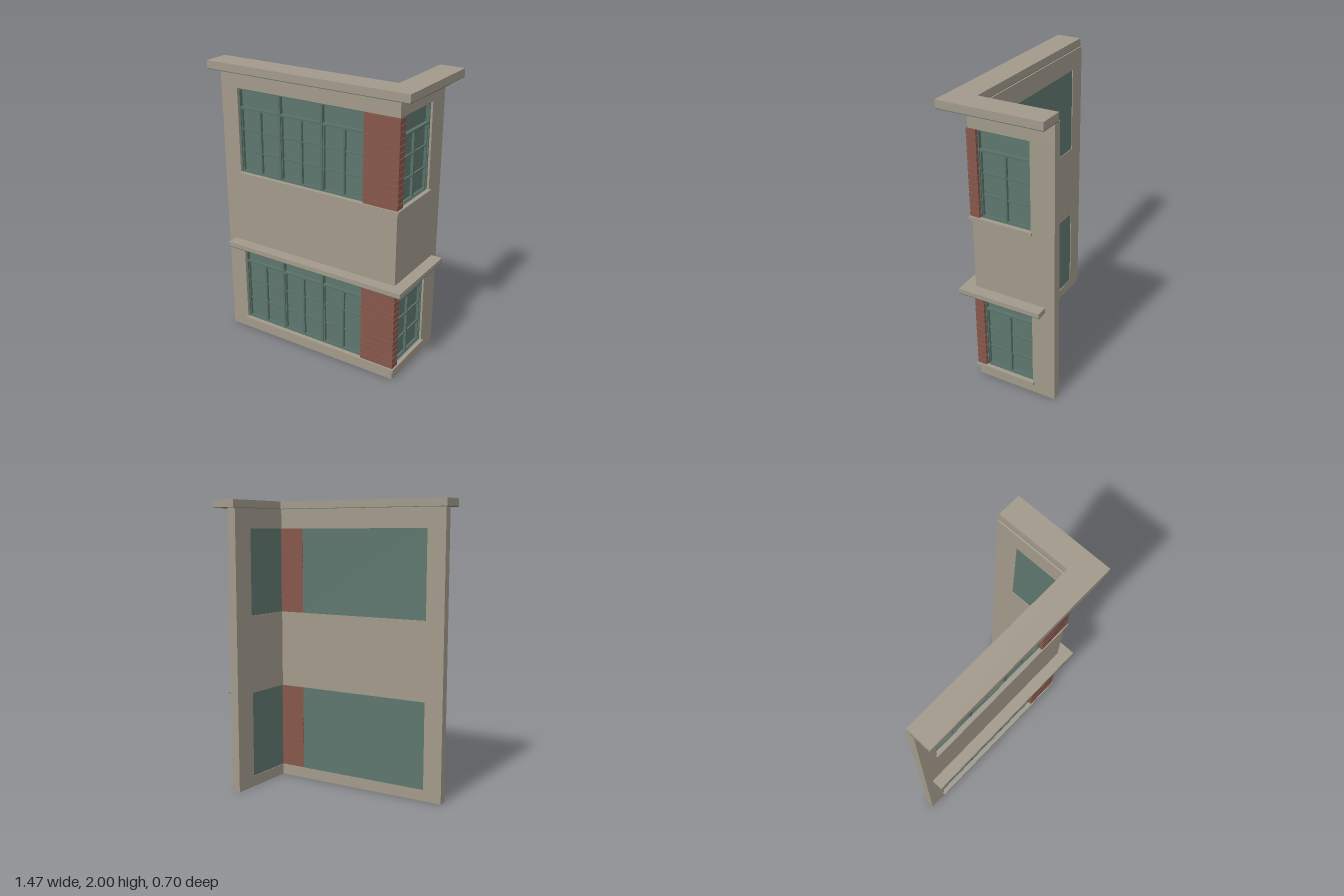
import * as THREE from 'three';

const mat = (name, color) => {
  const m = new THREE.MeshStandardMaterial({ color });
  m.name = name;
  return m;
};

export function createModel() {
  const stone = mat('stone', 0xa1998a);
  const brick = mat('brick', 0x85564a);
  const glass = mat('glass', 0x5d766d);
  const frame = mat('frame', 0x577068);
  const model = new THREE.Group();
  model.name = 'cornerFacade';

  // Box given by its limits
  function box(parent, name, m, x0, x1, y0, y1, z0, z1) {
    const mesh = new THREE.Mesh(new THREE.BoxGeometry(x1 - x0, y1 - y0, z1 - z0), m);
    mesh.position.set((x0 + x1) / 2, (y0 + y1) / 2, (z0 + z1) / 2);
    mesh.name = name;
    parent.add(mesh);
  }

  // L-shaped slab: left end, outer corner, back end, inner corner, heights
  function corner(name, m, left, [xo, zo], back, [xi, zi], y0, y1) {
    const pts = [[left, zo], [xo, zo], [xo, back], [xi, back], [xi, zi], [left, zi]];
    const shape = new THREE.Shape(pts.map(([x, z]) => new THREE.Vector2(x, -z)));
    const geo = new THREE.ExtrudeGeometry(shape, { depth: y1 - y0, bevelEnabled: false });
    const mesh = new THREE.Mesh(geo.rotateX(-Math.PI / 2), m);
    mesh.position.y = y0;
    mesh.name = name;
    model.add(mesh);
  }

  const outer = [0.605, 0.225], inner = [0.545, 0.165];
  const floors = [[0.075, 0.675], [1.215, 1.81]];

  // Walls: continuous bands, with an end post at each side of the openings
  [[0, 0.075], [0.675, 1.215], [1.81, 1.945]].forEach(([y0, y1]) =>
    corner('wallBand', stone, -0.735, outer, -0.352, inner, y0, y1));
  for (const [y0, y1] of floors) {
    box(model, 'frontWallPost', stone, -0.735, -0.605, y0, y1, 0.165, 0.225);
    box(model, 'sideWallPost', stone, 0.545, 0.605, y0, y1, -0.352, -0.19);
  }

  // Cornice and canopy, each with a painted underside
  function ledge(name, left, out, back, inn, y0, y1) {
    corner(name, stone, left, out, back, inn, y0 + 0.004, y1);
    corner(name + 'Soffit', frame, left, out, back, inn, y0, y0 + 0.004);
  }
  ledge('cornice', -0.735, [0.73, 0.352], -0.352, [0.56, 0.175], 1.945, 2);
  ledge('canopy', -0.68, [0.685, 0.305], -0.285, [0.58, 0.2], 0.675, 0.71);

  // Window: u runs along the wall, depth is measured from the outer face
  function makeWindow(name, u0, u1, y0, y1, panels) {
    const g = new THREE.Group();
    g.name = name;
    const back = -0.055, proud = -0.015, sash = -0.024, bar = -0.03;
    const transom = y1 - 0.135;
    box(g, 'glass', glass, u0, u1, y0, y1, back, -0.042);
    box(g, 'headFrame', frame, u0, u1, y1 - 0.012, y1, -0.042, proud);
    box(g, 'bottomFrame', frame, u0, u1, y0, y0 + 0.014, -0.042, proud);
    box(g, 'transom', frame, u0, u1, transom - 0.006, transom + 0.006, -0.042, proud);
    const w = (u1 - u0) / panels;
    for (let i = 0; i <= panels; i++) {
      const a = Math.max(u0, u0 + i * w - 0.008), b = Math.min(u1, u0 + i * w + 0.008);
      box(g, 'mullion', frame, a, b, y0, y1, -0.042, proud);
    }
    for (let i = 0; i < panels; i++) {
      const a = u0 + i * w + 0.008, b = a + w - 0.016, c = (a + b) / 2;
      const lo = y0 + 0.014, hi = transom - 0.006;
      // Sash surround
      box(g, 'sashSide', frame, a, a + 0.006, lo, hi, -0.042, sash);
      box(g, 'sashSide', frame, b - 0.006, b, lo, hi, -0.042, sash);
      box(g, 'sashRail', frame, a, b, lo, lo + 0.006, -0.042, sash);
      box(g, 'sashRail', frame, a, b, hi - 0.006, hi, -0.042, sash);
      // Glazing bars
      box(g, 'verticalBar', frame, c - 0.006, c + 0.006, lo, hi, -0.042, sash);
      for (let r = 1; r < 3; r++) {
        const y = lo + (hi - lo) * r / 3;
        box(g, 'horizontalBar', frame, a, b, y - 0.005, y + 0.005, -0.042, bar);
      }
    }
    model.add(g);
    return g;
  }

  for (const [y0, y1] of floors) {
    makeWindow('frontWindow', -0.605, 0.367, y0, y1, 3).position.z = 0.225;
    const side = makeWindow('sideWindow', -0.17, 0.19, y0, y1, 1);
    side.rotation.y = Math.PI / 2;
    side.position.x = 0.605;

    // Sill wrapping the corner
    corner('sill', stone, -0.615, [0.62, 0.242], -0.2, [0.56, 0.18], y0 - 0.012, y0 + 0.01);

    // Brick pier: recessed core with projecting courses
    box(model, 'brickCore', brick, 0.367, 0.606, y0, y1, 0.172, 0.23);
    const rows = 14, h = (y1 - y0 - 0.01) / rows;
    for (let i = 0; i < rows; i++) {
      const y = y0 + 0.01 + i * h;
      box(model, 'brickCourse', brick, 0.364, 0.611, y + 0.004, y + h - 0.004, 0.168, 0.235);
    }
  }
  return model;
}
